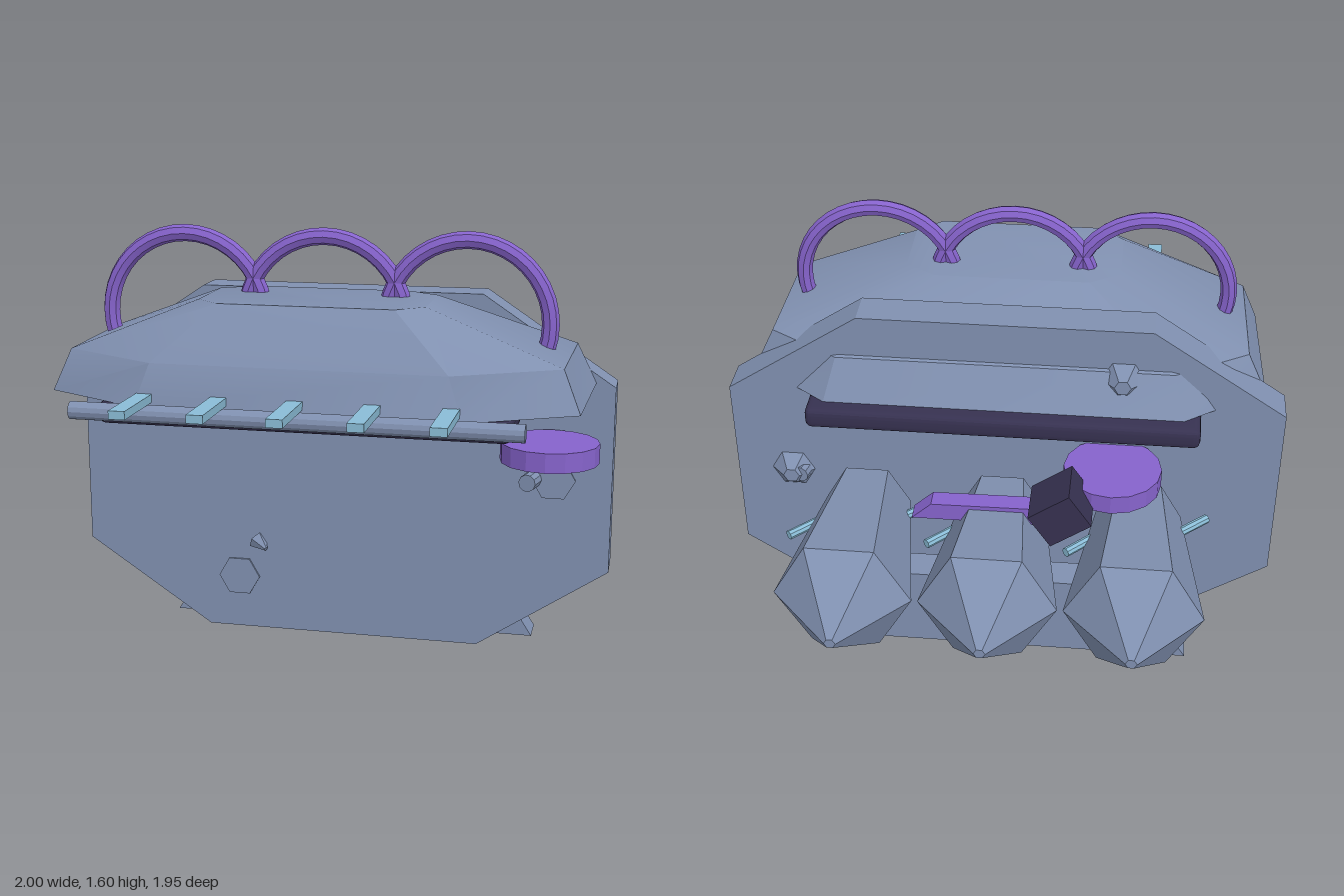
import * as THREE from 'three';
import { toCreasedNormals } from 'three/addons/utils/BufferGeometryUtils.js';
import { RoundedBoxGeometry } from 'three/addons/geometries/RoundedBoxGeometry.js';

export function createModel() {
  const group = new THREE.Group();
  const mat = (name, color) => {
    const m = new THREE.MeshStandardMaterial({ color });
    m.name = name;
    return m;
  };
  const steel = mat('blueGrey', 0x8090b0);
  const purple = mat('purple', 0x8663cc);
  const dark = mat('darkViolet', 0x363150);
  const ice = mat('paleBlue', 0x8abcd6);

  const add = (name, geo, material, x = 0, y = 0, z = 0, crease = 0.3) => {
    const mesh = new THREE.Mesh(toCreasedNormals(geo, crease), material);
    mesh.name = name;
    mesh.position.set(x, y, z);
    group.add(mesh);
    return mesh;
  };
  // Flat polygon extruded from z0 to z1
  const slab = (points, z0, z1) => {
    const shape = new THREE.Shape(points.map(([x, y]) => new THREE.Vector2(x, y)));
    return new THREE.ExtrudeGeometry(shape, { depth: z1 - z0, bevelEnabled: false }).translate(0, 0, z0);
  };
  // Straight rod between two points
  const rod = (name, a, b, r, material, sides = 8, r2 = r) => {
    const A = new THREE.Vector3(...a), B = new THREE.Vector3(...b);
    const dir = B.clone().sub(A);
    const mesh = add(name, new THREE.CylinderGeometry(r2, r, dir.length(), sides), material);
    mesh.position.copy(A).add(B).multiplyScalar(0.5);
    mesh.quaternion.setFromUnitVectors(new THREE.Vector3(0, 1, 0), dir.normalize());
  };

  // Upright main plate and rear foot
  add('mainPlate', slab([[-0.52, 0.02], [0.52, 0.02], [1, 0.34], [1, 1.03],
    [0.52, 1.35], [-0.52, 1.35], [-1, 1.03], [-1, 0.34]], -0.13, 0.01), steel);
  add('rearFoot', slab([[-0.71, 0], [0.71, 0], [0.5, 0.33], [-0.5, 0.33]], -0.29, -0.17), steel);

  // Faceted canopy: three stacked eight-sided rings, half of each given and mirrored
  const rings = [
    [1.045, [[0.55, 0.72], [0.91, 0.53], [0.93, 0], [0.64, -0.21]]],
    [1.19, [[0.5, 0.69], [0.85, 0.5], [0.86, 0.02], [0.6, -0.14]]],
    [1.375, [[0.3, 0.56], [0.39, 0.48], [0.39, 0.22], [0.28, 0.15]]],
  ];
  const pos = [], idx = [];
  for (const [y, half] of rings) {
    for (const [x, z] of half) pos.push(x, y, z);
    for (const [x, z] of [...half].reverse()) pos.push(-x, y, z);
  }
  for (let r = 0; r < 2; r++) for (let i = 0; i < 8; i++) {
    const a = r * 8 + i, b = r * 8 + (i + 1) % 8;
    idx.push(a, b, b + 8, a, b + 8, a + 8);
  }
  for (let i = 1; i < 7; i++) {
    idx.push(0, i + 1, i);
    idx.push(16, 16 + i, 17 + i);
  }
  const hull = new THREE.BufferGeometry();
  hull.setAttribute('position', new THREE.Float32BufferAttribute(pos, 3));
  hull.setIndex(idx);
  add('canopy', hull, steel, 0, 0, 0, 0.5);

  // Dark tray under the canopy
  add('tray', new RoundedBoxGeometry(1.4, 0.08, 0.93, 2, 0.025), dark, 0, 1.005, 0.195);

  // Front bar with teeth
  rod('frontBar', [-0.76, 1.03, 0.745], [0.755, 1.03, 0.745], 0.031, steel, 12);
  for (let i = -2; i <= 2; i++) {
    add('tooth', new THREE.BoxGeometry(0.055, 0.028, 0.27), ice, i * 0.257, 1.076, 0.835);
  }

  // Three arches over the canopy
  for (const x of [-0.5, 0, 0.5]) {
    const arch = new THREE.TorusGeometry(0.283, 0.03, 8, 24, Math.PI + 0.6).rotateZ(-0.3);
    add('arch', arch, purple, x, 1.29, 0.27);
  }

  // Rear pods: six-sided, flaring back and then closing to a point
  for (const x of [-0.5, 0, 0.5]) {
    const along = (g, z) => g.rotateY(Math.PI / 6).rotateX(-Math.PI / 2).translate(0, 0, z);
    add('podBody', along(new THREE.CylinderGeometry(0.24, 0.155, 0.55, 6), -0.465), steel, x, 0.605, 0);
    add('podTip', along(new THREE.CylinderGeometry(0.02, 0.24, 0.235, 6), -0.8575), steel, x, 0.605, 0);
    // Short pins set diagonally into the sides
    rod('podPin', [x + 0.13, 0.61, -0.32], [x + 0.25, 0.61, -0.44], 0.017, ice);
    rod('podPin', [x - 0.13, 0.61, -0.31], [x - 0.25, 0.61, -0.2], 0.017, ice);
  }

  // Purple discs
  for (const [x, z] of [[0.787, 0.195], [-0.4, -0.267]]) {
    add('disc', new THREE.CylinderGeometry(0.174, 0.174, 0.07, 16), purple, x, 0.835, z);
  }

  // Tilted dark block with a handle
  add('block', slab([[-0.34, 0.81], [-0.2, 0.71], [-0.12, 0.83], [-0.26, 0.93]], -0.53, -0.35), dark);
  add('handle', slab([[-0.22, 0.72], [0.3, 0.72], [0.23, 0.785], [-0.22, 0.79]], -0.43, -0.36), purple);

  // Hexagonal studs through the plate, tapering at the rear
  for (const [x, y] of [[0.79, 0.68], [-0.4, 0.225], [-0.42, 1.15]]) {
    const hex = (r0, r1, z0, z1) => new THREE.CylinderGeometry(r1, r0, z0 - z1, 6)
      .rotateY(Math.PI / 6).rotateX(-Math.PI / 2).translate(0, 0, (z0 + z1) / 2);
    add('studHead', hex(0.08, 0.08, 0.018, -0.13), steel, x, y, 0);
    add('studTip', hex(0.08, 0.03, -0.13, -0.18), steel, x, y, 0);
  }

  // Knob and small spike
  rod('knob', [0.76, 0.68, -0.17], [0.7, 0.68, 0.08], 0.032, steel, 10);
  rod('spike', [-0.33, 0.37, 0], [-0.29, 0.345, 0.03], 0.038, steel, 6, 0.008);

  return group;
}
